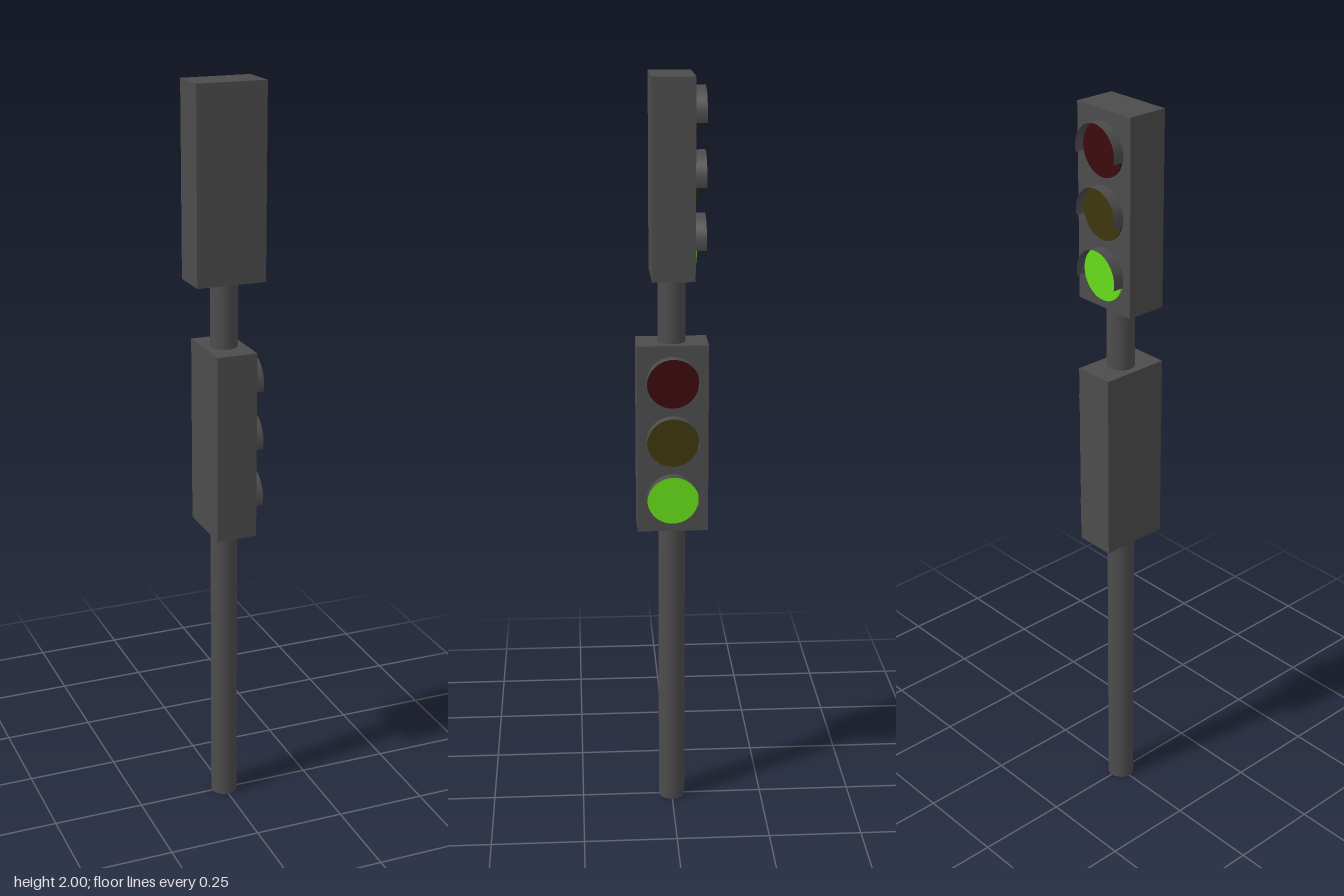
import * as THREE from 'three';

const mat = (color, side = THREE.FrontSide) => new THREE.MeshStandardMaterial({ color, side });
const casing = mat(0x4c4c4c);
const hood = mat(0x4c4c4c, THREE.DoubleSide);
const lensColors = { red: 0x3c0a0e, amber: 0x3d360c, green: 0x66dd18 };

function add(parent, name, geometry, material, x, y, z) {
  const mesh = new THREE.Mesh(geometry, material);
  mesh.name = name;
  mesh.position.set(x, y, z);
  parent.add(mesh);
  return mesh;
}

// One signal head facing +z, with its origin at the middle of the housing
function signalHead(name) {
  const head = new THREE.Group();
  head.name = name;
  add(head, 'housing', new THREE.BoxGeometry(0.187, 0.506, 0.11), casing, 0, 0, 0);

  // Lens discs, each under a thin curved visor reaching just below its middle
  const droop = 0.24;
  const lensGeo = new THREE.CylinderGeometry(0.068, 0.068, 0.01, 40).rotateX(Math.PI / 2);
  const visorGeo = new THREE.CylinderGeometry(0.069, 0.069, 0.032, 32, 1, true,
    -Math.PI / 2 - droop, Math.PI + 2 * droop).rotateX(-Math.PI / 2);
  Object.entries(lensColors).forEach(([color, hex], i) => {
    const y = 0.155 - i * 0.159;
    add(head, color + 'Lens', lensGeo, mat(hex), 0, y, 0.055);
    add(head, color + 'Visor', visorGeo, hood, 0, y, 0.069);
  });
  return head;
}

export function createModel() {
  const model = new THREE.Group();
  model.name = 'trafficLight';

  // Pole
  add(model, 'pole', new THREE.CylinderGeometry(0.036, 0.036, 1.6, 32), casing, 0, 0.8, 0);

  // Upper head faces the back, lower head faces the left
  const upper = signalHead('upperHead');
  upper.position.y = 1.747;
  upper.rotation.y = Math.PI;
  const lower = signalHead('lowerHead');
  lower.position.y = 1.067;
  lower.rotation.y = Math.PI / 2;
  model.add(upper, lower);

  return model;
}
